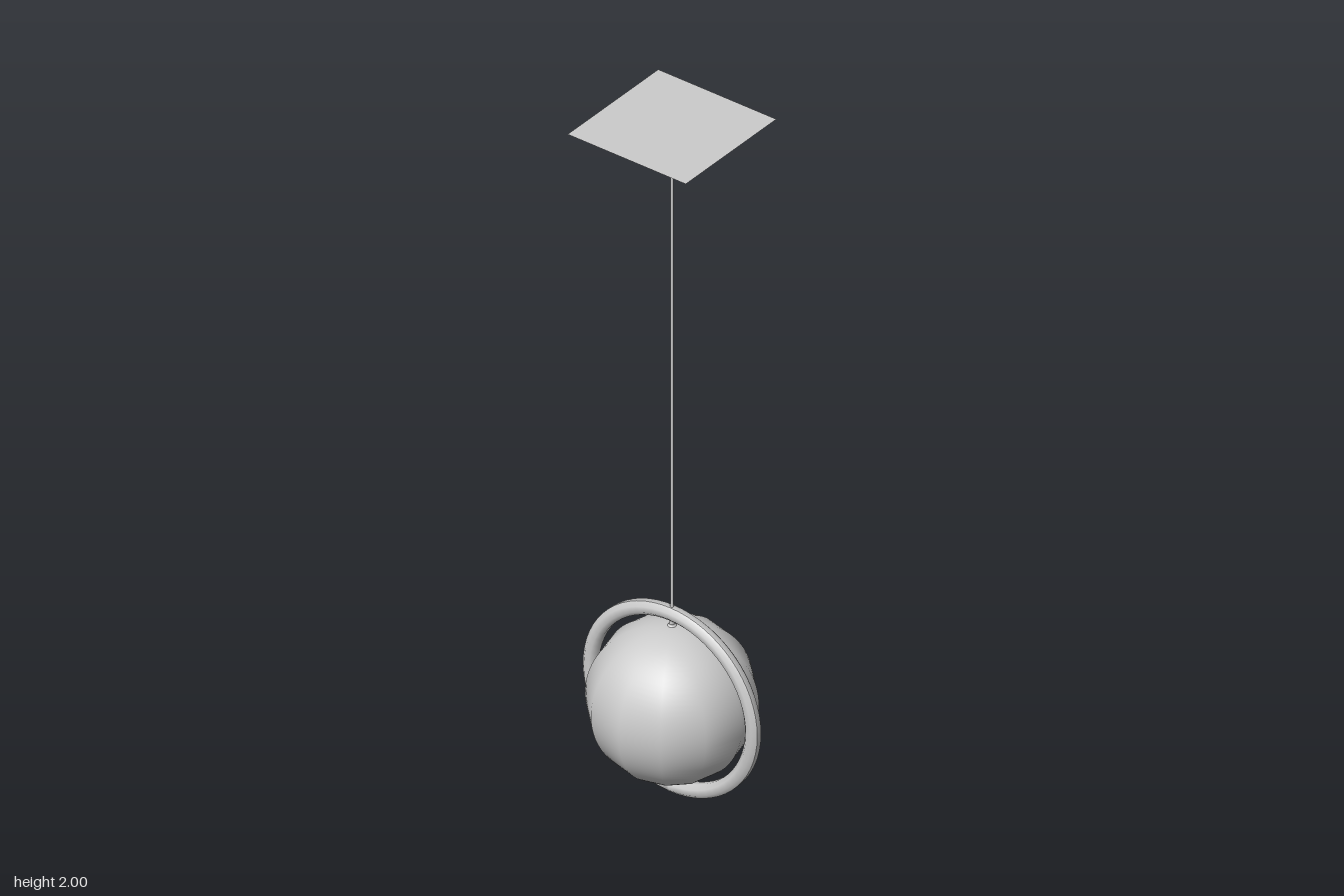
import * as THREE from 'three';

const CENTER_Y = 0.277;

export function createModel() {
  const lamp = new THREE.Group();
  lamp.name = 'pendantLamp';
  const smooth = new THREE.MeshStandardMaterial({ color: 0xcccccc });
  const flat = new THREE.MeshStandardMaterial({ color: 0xcccccc, flatShading: true });

  const add = (name, geometry, material, y) => {
    const mesh = new THREE.Mesh(geometry, material);
    mesh.name = name;
    mesh.position.y = y;
    lamp.add(mesh);
    return mesh;
  };

  // Square ceiling plate tapering downwards
  const plate = new THREE.CylinderGeometry(0.1875 * Math.SQRT2, 0.048 * Math.SQRT2, 0.053, 4);
  plate.rotateY(Math.PI / 4);
  add('ceilingPlate', plate, flat, 1.9735);

  // Thin cord from the plate to the ring
  add('cord', new THREE.CylinderGeometry(0.004, 0.004, 1.4, 8), smooth, 1.25);

  // Connector running through the ring to the globe
  add('connector', new THREE.CylinderGeometry(0.004, 0.007, 0.08, 8), smooth, 0.533);
  add('globeCap', new THREE.CylinderGeometry(0.008, 0.014, 0.008, 12), smooth, 0.499);

  // Globe with twelve sides around and fine steps in height
  add('globe', new THREE.SphereGeometry(0.221, 12, 48), smooth, CENTER_Y);

  // Upright ring with an octagonal section, flat side outwards
  const section = [];
  for (let i = 0; i <= 8; i++) {
    const a = (i + 0.5) * Math.PI / 4;
    section.push(new THREE.Vector2(0.2575 + 0.021 * Math.cos(a), 0.021 * Math.sin(a)));
  }
  const ring = new THREE.LatheGeometry(section.reverse(), 64);
  ring.rotateX(Math.PI / 2);
  // Keep the faces outward whichever way the section runs
  const p = ring.attributes.position, idx = ring.index;
  const [a, b, c] = [0, 1, 2].map(i => new THREE.Vector3().fromBufferAttribute(p, idx.getX(i)));
  const normal = new THREE.Triangle(a, b, c).getNormal(new THREE.Vector3());
  const mid = a.clone().add(b).add(c).divideScalar(3);
  const core = new THREE.Vector3(mid.x, mid.y, 0).setLength(0.2575);
  if (normal.dot(mid.sub(core)) < 0) {
    for (let i = 0; i < idx.count; i += 3) {
      const t = idx.getX(i);
      idx.setX(i, idx.getX(i + 1));
      idx.setX(i + 1, t);
    }
    ring.computeVertexNormals();
  }
  add('ring', ring, smooth, CENTER_Y);

  return lamp;
}
